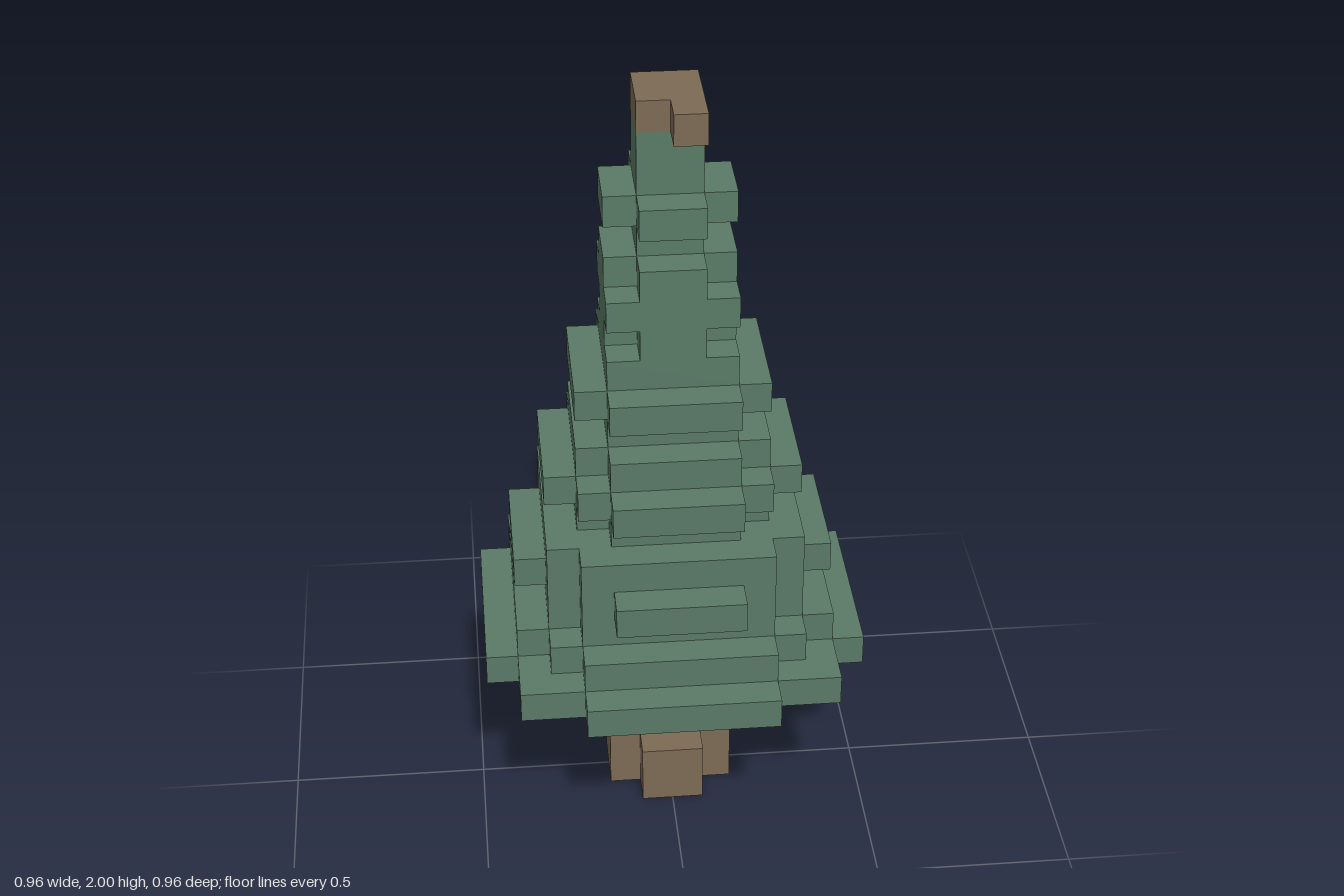
import * as THREE from 'three';

const U = 0.08; // block size

const green = new THREE.MeshStandardMaterial({ color: 0x5a7a66, flatShading: true });
const brown = new THREE.MeshStandardMaterial({ color: 0x7d6a55, flatShading: true });

// Stepped slab: corners lists the outer corners of one quadrant, repeated four times
function slab(name, corners, level, height, material) {
  const quadrant = [];
  corners.forEach(([x, z], i) => {
    quadrant.push([x, z]);
    if (i + 1 < corners.length) quadrant.push([corners[i + 1][0], z]);
  });
  const points = [];
  for (let q = 0; q < 4; q++) {
    for (const [x, z] of quadrant) {
      points.push(new THREE.Vector2(x * U, z * U).rotateAround(new THREE.Vector2(), q * Math.PI / 2));
    }
  }
  const geometry = new THREE.ExtrudeGeometry(new THREE.Shape(points), { depth: height * U, bevelEnabled: false });
  geometry.rotateX(-Math.PI / 2);
  const mesh = new THREE.Mesh(geometry, material);
  mesh.name = name;
  mesh.position.y = level * U;
  return mesh;
}

// Single block given by its lowest corner, in block units
function block(name, x, y, z, material) {
  const mesh = new THREE.Mesh(new THREE.BoxGeometry(U, U, U), material);
  mesh.name = name;
  mesh.position.set((x + 0.5) * U, (y + 0.5) * U, (z + 0.5) * U);
  return mesh;
}

const square = n => [[n, n]];
const cross = (arm, half) => [[arm, half], [half, arm]];
const stepped = (arm, half, core) => [[arm, half], [core, core], [half, arm]];

export function createModel() {
  const tree = new THREE.Group();
  tree.name = 'tree';

  // Trunk with a flared root
  tree.add(slab('root', cross(2, 1), 0, 2, brown));
  tree.add(slab('trunk', square(1), 2, 4, brown));

  // Foliage, one slab per level from the bottom up
  const foliage = new THREE.Group();
  foliage.name = 'foliage';
  const layers = [
    stepped(6, 3, 5),
    stepped(5, 3, 4),
    cross(4, 3),
    [[5, 2], [4, 3], [3, 4], [2, 5]],
    cross(4, 3),
    cross(3, 2),
    stepped(4, 2, 3),
    cross(3, 2),
    square(2),
    cross(3, 2),
    square(2),
    cross(2, 1),
    square(2),
    cross(2, 1),
    square(1),
    cross(2, 1),
    square(1),
    square(1),
  ];
  layers.forEach((corners, i) => foliage.add(slab('foliageLayer' + (i + 1), corners, 6 + i, 1, green)));
  tree.add(foliage);

  // Wooden tip with two offset knobs
  tree.add(slab('tip', square(1), 24, 1, brown));
  tree.add(block('frontKnob', 0, 24, 1, brown));
  tree.add(block('backKnob', 0, 23, -2, brown));

  return tree;
}
